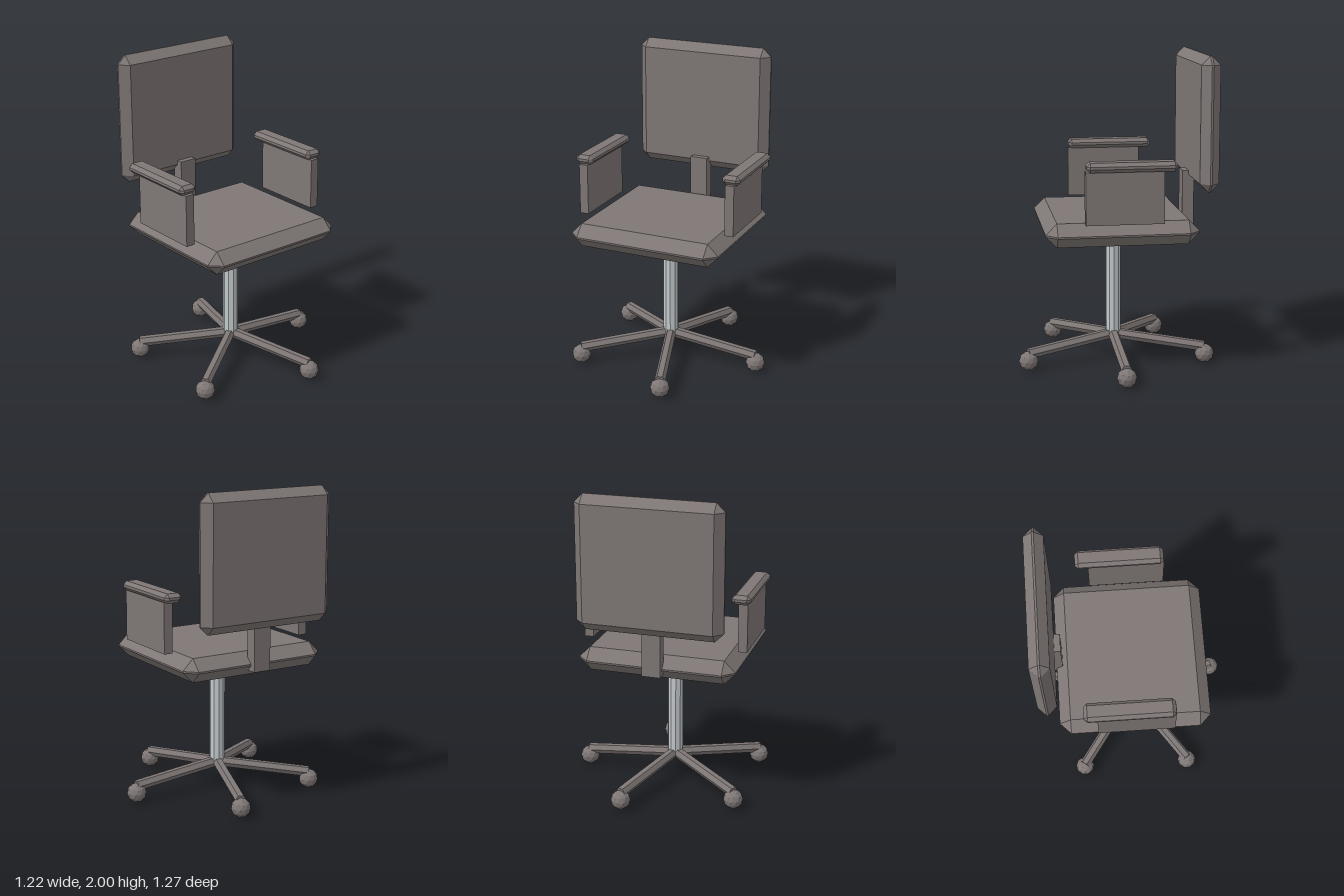
import * as THREE from 'three';
import { ConvexGeometry } from 'three/addons/geometries/ConvexGeometry.js';

const fabric = new THREE.MeshStandardMaterial({ color: 0x7e7775, flatShading: true });
fabric.name = 'warm grey';
const metal = new THREE.MeshStandardMaterial({ color: 0xc4cacd, flatShading: true });
metal.name = 'light metal';

const CX = -0.053; // centre line of the chair

// Box of the given size with every edge chamfered by c
function chamferedBox(w, h, d, c) {
  const half = [w / 2, h / 2, d / 2];
  const points = [];
  for (let axis = 0; axis < 3; axis++)
    for (const sx of [-1, 1]) for (const sy of [-1, 1]) for (const sz of [-1, 1]) {
      const p = [sx, sy, sz].map((s, i) => s * (i === axis ? half[i] : half[i] - c));
      points.push(new THREE.Vector3(...p));
    }
  return new ConvexGeometry(points);
}

export function createModel() {
  const chair = new THREE.Group();
  chair.name = 'officeChair';

  function add(name, geometry, material, x, y, z, parent = chair) {
    const mesh = new THREE.Mesh(geometry, material);
    mesh.name = name;
    mesh.position.set(x, y, z);
    parent.add(mesh);
    return mesh;
  }

  // Cushions and the bracket that joins them
  add('seat', chamferedBox(0.997, 0.15, 0.955, 0.07), fabric, CX, 0.925, -0.002);
  add('backrest', chamferedBox(0.917, 0.836, 0.12, 0.054), fabric, CX, 1.582, -0.54);
  add('backBracket', new THREE.BoxGeometry(0.116, 0.36, 0.075), fabric, CX, 1.065, -0.478);

  // Armrests on flat panels
  for (const side of [-1, 1]) {
    const name = side > 0 ? 'left' : 'right';
    add(name + 'ArmPanel', new THREE.BoxGeometry(0.058, 0.325, 0.48), fabric, CX + side * 0.498, 1.1645, 0);
    add(name + 'Armrest', chamferedBox(0.117, 0.06, 0.557, 0.022), fabric, CX + side * 0.5, 1.355, -0.042);
  }

  // Ten-sided column
  const column = new THREE.CylinderGeometry(0.05, 0.05, 0.7, 10);
  column.rotateY(Math.PI / 2);
  add('column', column, metal, CX, 0.53, 0);

  // Five sloping six-sided legs with ball casters
  const reach = 0.6, drop = 0.06;
  const legGeometry = new THREE.CylinderGeometry(0.035, 0.035, Math.hypot(reach, drop), 6);
  legGeometry.rotateZ(-Math.PI / 2 - Math.atan2(drop, reach));
  const ballGeometry = new THREE.IcosahedronGeometry(0.062, 1);
  ballGeometry.rotateZ(-Math.atan(2 / (1 + Math.sqrt(5))));
  for (let i = 0; i < 5; i++) {
    const arm = new THREE.Group();
    arm.name = 'baseArm' + (i + 1);
    arm.position.x = CX;
    arm.rotation.y = (i * Math.PI * 2) / 5;
    add('leg', legGeometry, fabric, reach / 2, 0.138, 0, arm);
    add('caster', ballGeometry, fabric, reach, 0.062, 0, arm);
    chair.add(arm);
  }
  return chair;
}
